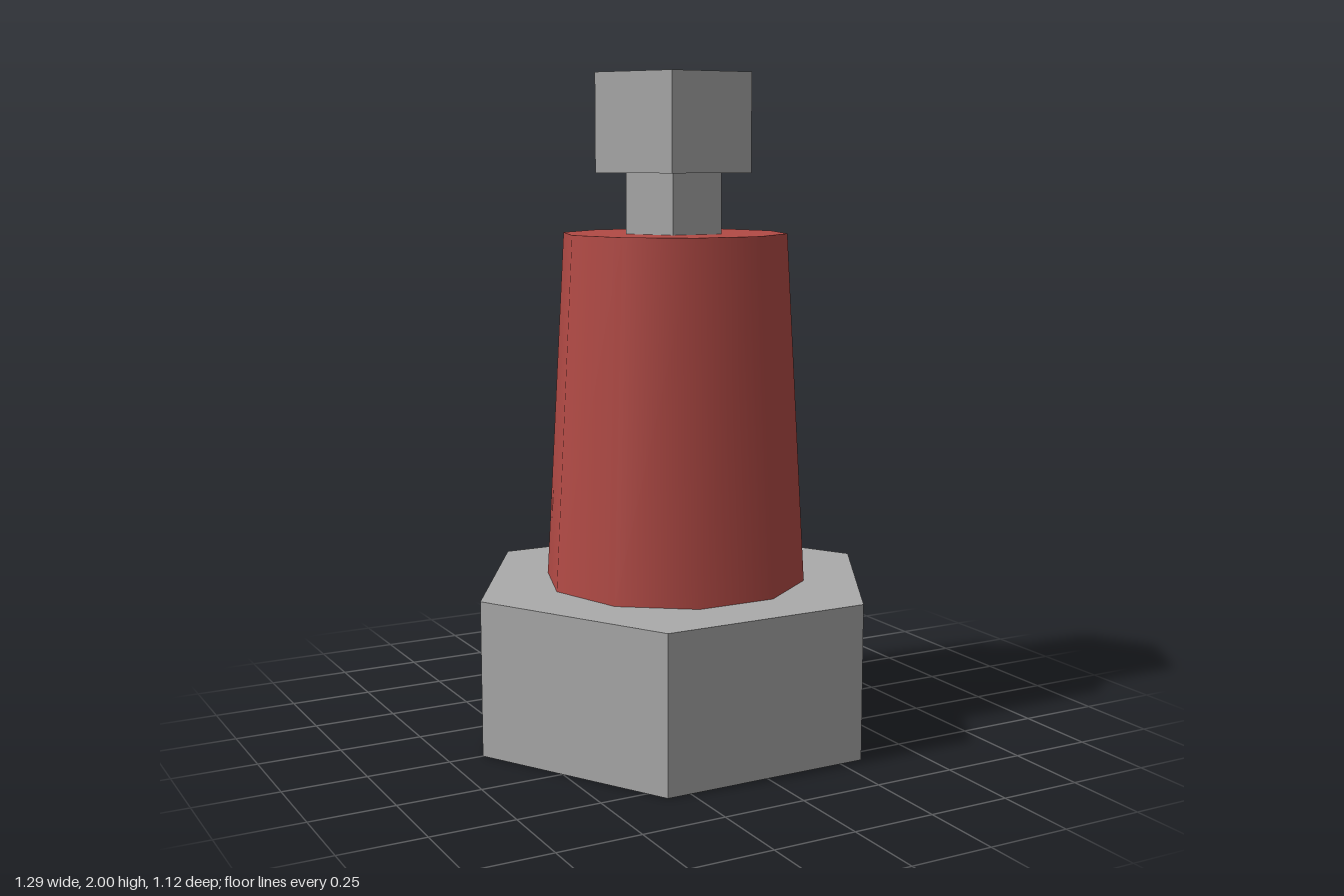
import * as THREE from 'three';

export function createModel() {
  const group = new THREE.Group();
  const steel = new THREE.MeshStandardMaterial({ color: 0xaaaaaa, flatShading: true });
  steel.name = 'steel grey';
  const red = new THREE.MeshStandardMaterial({ color: 0xb24a45 });
  red.name = 'insulator red';

  // Upright prism with corners on the x axis
  function prism(name, material, sides, bottomRadius, topRadius, y0, y1) {
    const geometry = new THREE.CylinderGeometry(
      topRadius, bottomRadius, y1 - y0, sides, 1, false, Math.PI / 2);
    const mesh = new THREE.Mesh(geometry, material);
    mesh.name = name;
    mesh.position.y = (y0 + y1) / 2;
    group.add(mesh);
  }

  prism('hexBase', steel, 6, 0.645, 0.645, 0, 0.47);
  prism('taperedBody', red, 10, 0.4, 0.34, 0.47, 1.53);
  prism('neck', steel, 6, 0.163, 0.163, 1.53, 1.71);
  prism('hexHead', steel, 6, 0.263, 0.263, 1.71, 2);

  return group;
}
